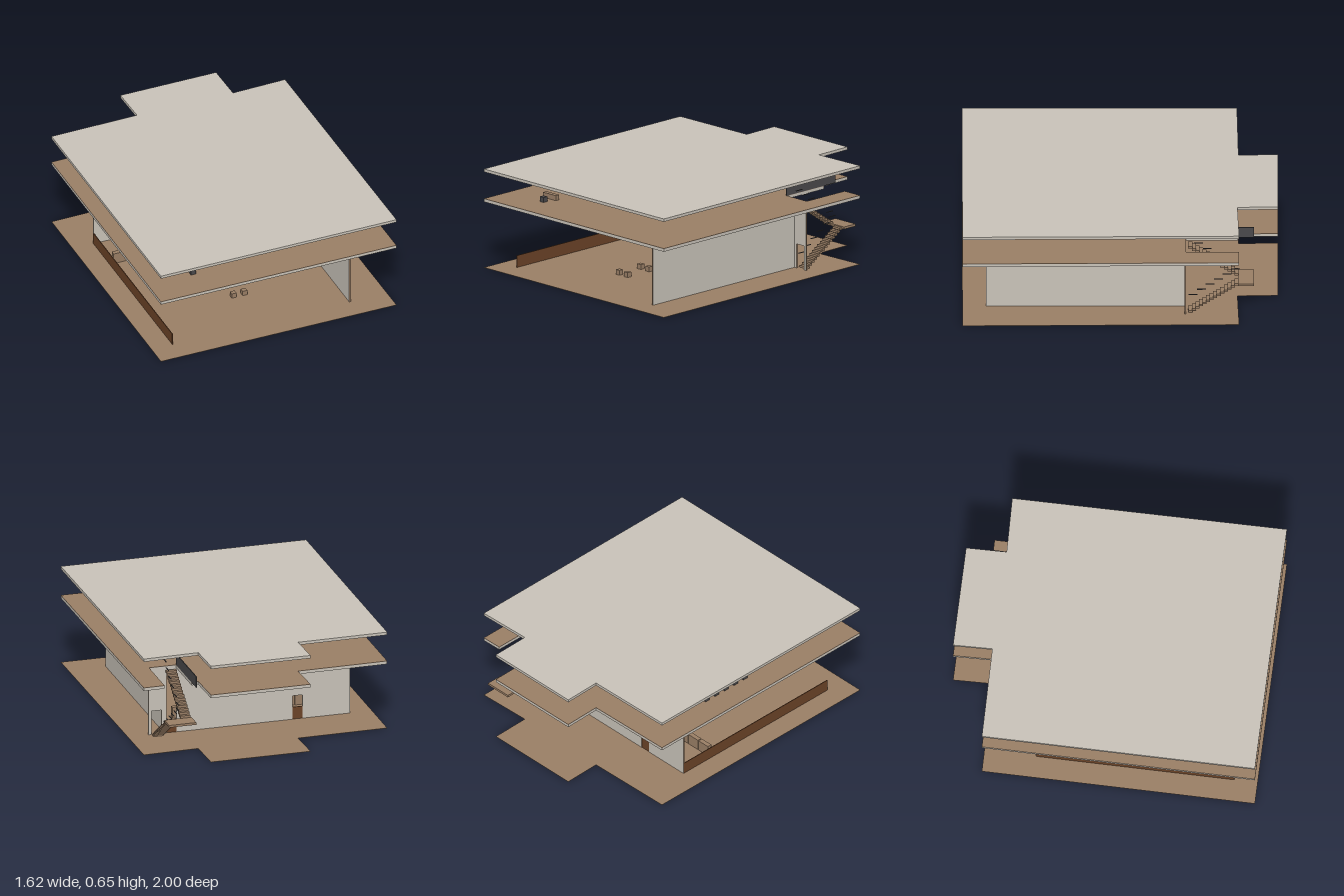
import * as THREE from 'three';

const mat = (name, color) => Object.assign(new THREE.MeshStandardMaterial({ color }), { name });

export function createModel() {
  const plaster = mat('plaster', 0xc9c3b9);
  const wood = mat('wood', 0x9a7f66);
  const darkWood = mat('dark wood', 0x6b4327);
  const charcoal = mat('charcoal', 0x4a494b);
  const model = new THREE.Group();

  function group(name) {
    const g = new THREE.Group();
    g.name = name;
    model.add(g);
    return g;
  }
  function add(parent, name, geometry, material) {
    const m = new THREE.Mesh(geometry, material);
    m.name = name;
    parent.add(m);
    return m;
  }
  // Box given by its minimum and maximum on each axis
  function box(parent, name, material, x0, x1, y0, y1, z0, z1) {
    const g = new THREE.BoxGeometry(x1 - x0, y1 - y0, z1 - z0);
    add(parent, name, g, material).position.set((x0 + x1) / 2, (y0 + y1) / 2, (z0 + z1) / 2);
  }
  const toShape = pts => new THREE.Shape(pts.map(p => new THREE.Vector2(...p)));
  // Horizontal slab from an outline in x and z
  function slab(name, outline, y, height, material) {
    const g = new THREE.ExtrudeGeometry(toShape(outline.map(([x, z]) => [x, -z])), { depth: height, bevelEnabled: false });
    g.rotateX(-Math.PI / 2);
    add(model, name, g, material).position.y = y;
  }

  // Storey outline with a rear projection
  const front = [[-0.815, 1], [0.81, 1], [0.8, -0.752]];
  const rear = [[0.437, -0.742], [0.432, -1], [-0.228, -1], [-0.222, -0.75], [-0.815, -0.742]];
  const stairwell = [[0.662, -0.75], [0.662, -0.415], [0.482, -0.415], [0.482, -0.744]];
  const full = [...front, ...rear];
  const notched = [...front, ...stairwell, ...rear];
  slab('ground', full, 0, 0.002, wood);
  slab('upperFloorSlab', notched, 0.434, 0.019, plaster);
  slab('upperFloorFinish', notched, 0.453, 0.002, wood);
  slab('roofSlab', full, 0.631, 0.019, plaster);

  // Walls: plaster faces with wood edges
  const walls = group('walls');
  const top = 0.434;
  const backOutline = toShape([
    [-0.67, 0], [-0.355, 0], [-0.355, 0.16], [-0.29, 0.16], [-0.29, 0], [0.48, 0], [0.48, 0.405], [0.547, 0.405],
    [0.547, 0], [0.58, 0], [0.58, 0.16], [0.645, 0.16], [0.645, 0], [0.665, 0], [0.665, top], [-0.67, top],
  ]);
  const back = add(walls, 'backWall',
    new THREE.ExtrudeGeometry(backOutline, { depth: 0.01, bevelEnabled: false }), [plaster, wood]);
  back.position.z = -0.415;
  const sideWall = add(walls, 'sideWall', new THREE.BoxGeometry(0.012, top, 1.255),
    [plaster, plaster, plaster, plaster, wood, wood]);
  sideWall.position.set(0.555, top / 2, 0.2225);
  box(walls, 'lowWall', darkWood, -0.672, -0.667, 0, 0.08, -0.41, 0.85);

  // Half-height doors in the back wall
  box(walls, 'door', darkWood, -0.355, -0.29, 0, 0.083, -0.413, -0.407);
  box(walls, 'stairDoor', darkWood, 0.48, 0.547, 0, 0.083, -0.413, -0.407);

  // Row of counters and loose seats on the ground storey
  const lower = group('groundFurniture');
  for (let i = 0; i < 12; i++) {
    const x = -0.645 + i * 0.0903;
    box(lower, 'counter', wood, x, x + 0.085, 0, 0.075, -0.175, -0.145);
  }
  for (const z of [0.5, 0.31]) {
    for (const x of [-0.1, -0.025]) box(lower, 'seat', wood, x - 0.016, x + 0.016, 0, 0.034, z - 0.016, z + 0.016);
  }

  // Desks and seats on the upper storey
  const upper = group('upperFurniture');
  const base = 0.455, high = 0.488;
  for (const [x, z, d] of [[-0.518, 0.695, 0.03], [-0.247, 0.165, 0.05], [0.025, -0.13, 0.05], [0.298, 0.165, 0.05]]) {
    box(upper, 'desk', wood, x - 0.057, x + 0.057, base, high, z - d / 2, z + d / 2);
  }
  const seats = [[-0.502, 0.778]];
  for (let i = 0; i < 5; i++) seats.push([-0.643, -0.192 + i * 0.083]);
  for (const [x, z] of seats) box(upper, 'upperSeat', charcoal, x - 0.017, x + 0.017, base, high, z - 0.017, z + 0.017);

  // Two stair flights that turn at a landing
  const stairs = group('stairs');
  const steps = 14, run = 0.0225, rise = 0.0152;
  for (let i = 0; i < steps; i++) {
    const z = -0.43 - i * run;
    box(stairs, 'lowerStep', wood, 0.58, 0.645, i * rise + 0.002, (i + 1) * rise, z - 0.026, z);
    const y = 0.433 - i * rise;
    box(stairs, 'upperStep', wood, 0.49, 0.557, y - rise, y, z - 0.026, z);
  }
  box(stairs, 'landing', wood, 0.482, 0.662, 0.205, 0.22, -0.847, -0.745);

  // Stepped handrail bars and the stairwell guard
  for (let i = 0; i < 6; i++) {
    const z = -0.46 - i * 0.054;
    box(stairs, 'lowerRail', charcoal, 0.565, 0.571, 0.088 + i * 0.037, 0.092 + i * 0.037, z - 0.028, z + 0.028);
    box(stairs, 'upperRail', charcoal, 0.562, 0.568, 0.501 - i * 0.039, 0.505 - i * 0.039, z - 0.01, z + 0.046);
  }
  box(stairs, 'guardPanel', charcoal, 0.477, 0.483, 0.455, 0.528, -0.847, -0.412);

  return model;
}
